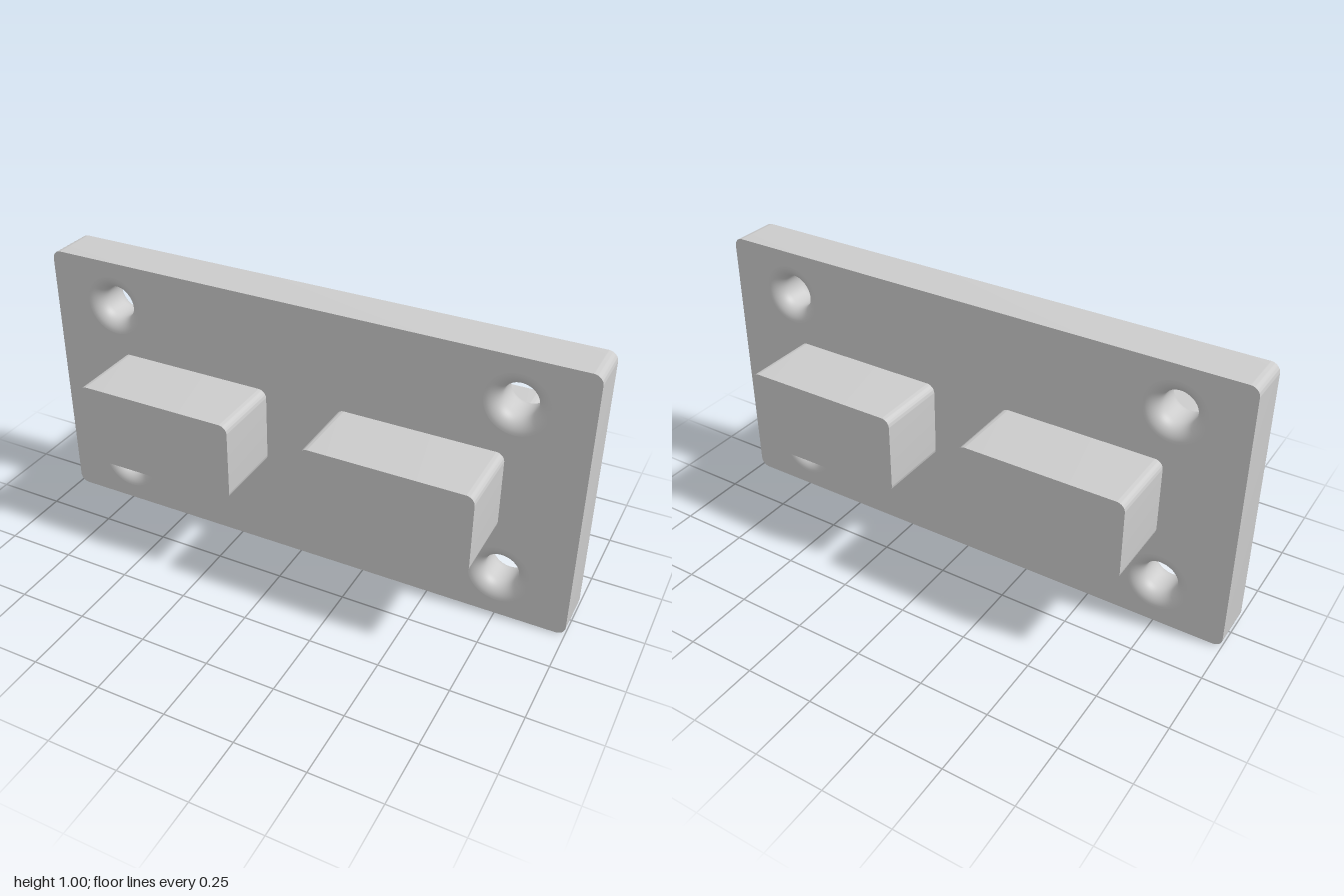
import * as THREE from 'three';
import { toCreasedNormals } from 'three/addons/utils/BufferGeometryUtils.js';

const material = new THREE.MeshStandardMaterial({ color: 0xcccccc });
const HALF = 0.083; // half the plate thickness
const THROAT = 0.06; // hole radius at its narrowest
const FILLET = 0.05; // rounding of the hole rims

function roundedRect(w, h, r) {
  const s = new THREE.Shape();
  const x = w / 2 - r, y = h / 2 - r;
  s.absarc(x, y, r, 0, Math.PI / 2);
  s.absarc(-x, y, r, Math.PI / 2, Math.PI);
  s.absarc(-x, -y, r, Math.PI, Math.PI * 1.5);
  s.absarc(x, -y, r, Math.PI * 1.5, Math.PI * 2);
  s.closePath();
  return s;
}

function extrude(shape, depth) {
  const geo = new THREE.ExtrudeGeometry(shape, { depth, bevelEnabled: false, curveSegments: 8 });
  return geo.translate(0, 0, -depth / 2);
}

function addMesh(parent, name, geometry, x = 0, y = 0) {
  const mesh = new THREE.Mesh(geometry, material);
  mesh.name = name;
  mesh.position.set(x, y, 0);
  parent.add(mesh);
  return mesh;
}

export function createModel() {
  const model = new THREE.Group();
  model.name = 'mountingPlate';
  const plate = new THREE.Group();
  plate.name = 'plate';
  plate.position.y = 0.5;
  model.add(plate);

  // Plate rim: only the side walls of the extruded outline
  const outline = roundedRect(2, 1, 0.033);
  const solid = extrude(outline, HALF * 2);
  const { start, count } = solid.groups[1];
  const rim = new THREE.BufferGeometry();
  rim.setAttribute('position', new THREE.BufferAttribute(
    solid.attributes.position.array.slice(start * 3, (start + count) * 3), 3));
  addMesh(plate, 'plateRim', toCreasedNormals(rim, 0.6));

  // Plate faces, pierced by the four holes
  const centres = [];
  for (const x of [-0.75, 0.75]) for (const y of [-0.333, 0.333]) centres.push([x, y]);
  const pierced = roundedRect(2, 1, 0.033);
  for (const [x, y] of centres) {
    pierced.holes.push(new THREE.Path().absarc(x, y, THROAT + FILLET, 0, Math.PI * 2, true));
  }
  const face = new THREE.ShapeGeometry(pierced, 24).translate(0, 0, HALF);
  addMesh(plate, 'frontFace', face);
  addMesh(plate, 'backFace', face).rotation.y = Math.PI;

  // Hole walls: straight throat with a rounded rim on both faces
  const profile = [];
  for (const side of [1, -1]) {
    for (let i = 0; i <= 10; i++) {
      const a = (side > 0 ? i : 10 - i) / 10 * Math.PI / 2;
      profile.push(new THREE.Vector2(
        THROAT + FILLET * (1 - Math.sin(a)),
        side * (HALF - FILLET * (1 - Math.cos(a)))));
    }
  }
  const wall = new THREE.LatheGeometry(profile, 48).rotateX(Math.PI / 2);
  for (const [x, y] of centres) addMesh(plate, 'screwHole', wall, x, y);

  // Two blocks standing out of both faces
  const block = toCreasedNormals(extrude(roundedRect(0.595, 0.295, 0.03), 0.7), 0.6);
  addMesh(model, 'leftBlock', block, 0.432, 0.5);
  addMesh(model, 'rightBlock', block, -0.432, 0.5);

  return model;
}
